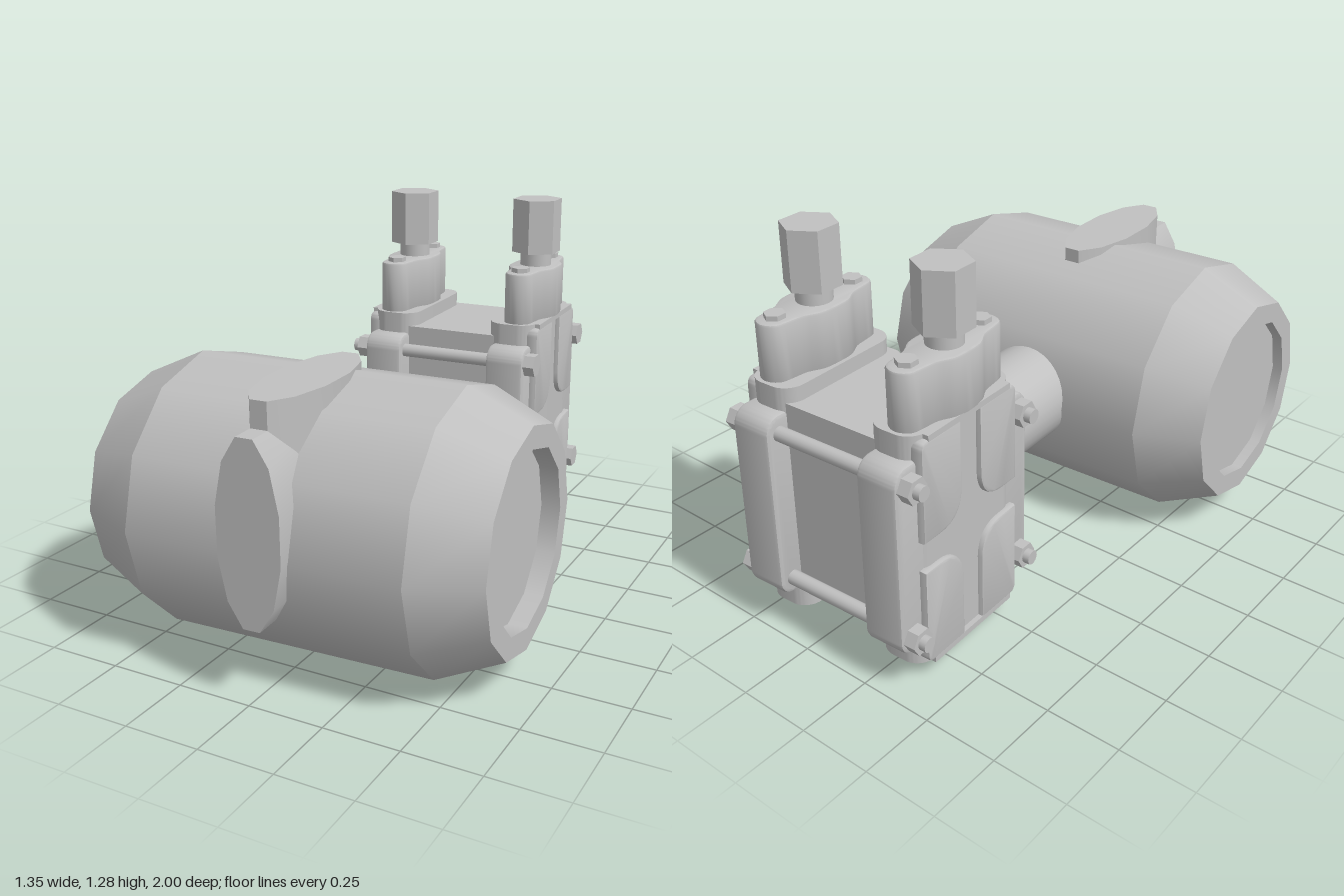
import * as THREE from 'three';
import { toCreasedNormals } from 'three/addons/utils/BufferGeometryUtils.js';

const metal = new THREE.MeshStandardMaterial({ color: 0xc0c0c0 });
metal.name = 'grey metal';

function add(parent, name, geometry, x = 0, y = 0, z = 0) {
  const mesh = new THREE.Mesh(geometry, metal);
  mesh.name = name;
  mesh.position.set(x, y, z);
  parent.add(mesh);
}

// Extrusion with smooth curved walls and sharp edges
function extrude(shape, depth, bevel = 0) {
  const g = new THREE.ExtrudeGeometry(shape, {
    depth: depth - 2 * bevel, curveSegments: 8, bevelEnabled: bevel > 0,
    bevelThickness: bevel, bevelSize: bevel, bevelOffset: -bevel, bevelSegments: 2,
  });
  g.translate(0, 0, bevel);
  return toCreasedNormals(g, 0.6);
}
const extrudeX = (shape, depth, bevel) => extrude(shape, depth, bevel).rotateY(Math.PI / 2);
const extrudeY = (shape, depth, bevel) => extrude(shape, depth, bevel).rotateX(-Math.PI / 2);

// Six-sided prism with flat faces
function hexPrism(radius, height) {
  const g = new THREE.CylinderGeometry(radius, radius, height, 6).toNonIndexed();
  g.computeVertexNormals();
  return g;
}

function roundedRect(w, h, r) {
  const s = new THREE.Shape();
  s.absarc(w - r, h - r, r, 0, Math.PI / 2);
  s.absarc(-w + r, h - r, r, Math.PI / 2, Math.PI);
  s.absarc(-w + r, -h + r, r, Math.PI, 1.5 * Math.PI);
  s.absarc(w - r, -h + r, r, 1.5 * Math.PI, 2 * Math.PI);
  s.closePath();
  return s;
}

// Twelve-sided flattened boss with a blunt tip
function ovalShape(halfWidth, halfLength) {
  const k = 1 / Math.cos(Math.PI / 12), pts = [];
  for (let i = 0; i < 12; i++) {
    const a = (i + 0.5) * Math.PI / 6;
    pts.push(new THREE.Vector2(halfWidth * k * Math.cos(a), halfLength * k * Math.sin(a)));
  }
  return new THREE.Shape(pts);
}

// Waisted two-lobed outline of a pipe adapter
function adapterShape() {
  const quarter = [[0.09, 0], [0.085, 0.06], [0.06, 0.11], [0.053, 0.16], [0.043, 0.205]];
  const pts = [];
  const put = (sx, sy, list) => list.forEach(([x, y]) => pts.push(new THREE.Vector3(sx * x, sy * y, 0)));
  put(1, 1, quarter);
  put(1, 1, [[0, 0.225]]);
  put(-1, 1, quarter.slice(1).reverse());
  put(-1, -1, quarter);
  put(1, -1, [[0, 0.225]]);
  put(1, -1, quarter.slice(1).reverse());
  const outline = new THREE.CatmullRomCurve3(pts, true).getPoints(60).slice(0, -1);
  return new THREE.Shape(outline.map((p) => new THREE.Vector2(p.x, p.y)));
}

// Electronics housing: one lathe band per profile step keeps the rims sharp
function buildHousing(parent) {
  const housing = new THREE.Group();
  housing.name = 'housing';
  housing.position.set(0, 0.453, 0.508);
  parent.add(housing);
  const profile = [[0, -0.625], [0.285, -0.625], [0.285, -0.662], [0.358, -0.662], [0.453, -0.455],
    [0.453, 0.455], [0.358, 0.662], [0.285, 0.662], [0.285, 0.6], [0, 0.6]];
  const names = ['rightCap', 'rightRecess', 'rightRim', 'rightCone', 'barrel',
    'leftCone', 'leftRim', 'leftRecess', 'leftCap'];
  names.forEach((name, i) => {
    const pts = [profile[i], profile[i + 1]].map(([r, h]) => new THREE.Vector2(r, h));
    add(housing, name, new THREE.LatheGeometry(pts, 12).rotateZ(-Math.PI / 2));
  });
  add(parent, 'topBoss', extrudeY(ovalShape(0.104, 0.277), 0.415), 0, 0.5, 0.64);
  add(parent, 'frontBoss', extrude(ovalShape(0.104, 0.292), 0.4), 0, 0.538, 0.597);
}

// One side cover, with its outer face towards +x
function buildCover(name) {
  const cover = new THREE.Group();
  cover.name = name;
  const midY = 0.456;

  add(cover, 'coverPlate', extrudeX(roundedRect(0.31, 0.318, 0.055), 0.142, 0.012), 0.173, midY, 0);
  add(cover, 'coverColumn', extrudeY(roundedRect(0.088, 0.237, 0.065), 0.79), 0.234, 0.06, 0);

  // Four raised pads leave a cross-shaped channel with rounded corners
  for (const sz of [1, -1]) for (const sy of [1, -1]) {
    const s = new THREE.Shape();
    s.moveTo(sz * 0.045, sy * 0.15);
    s.lineTo(sz * 0.045, sy * 0.38);
    s.lineTo(sz * 0.19, sy * 0.38);
    s.quadraticCurveTo(sz * 0.22, sy * 0.38, sz * 0.22, sy * 0.35);
    s.lineTo(sz * 0.22, sy * 0.05);
    s.lineTo(sz * 0.15, sy * 0.05);
    s.quadraticCurveTo(sz * 0.05, sy * 0.05, sz * 0.045, sy * 0.15);
    add(cover, 'coverPad', extrudeX(s, 0.05, 0.008), 0.29, midY, 0);
  }
  for (const s of [1, -1]) {
    add(cover, 'channelEnd', new THREE.BoxGeometry(0.05, 0.02, 0.38), 0.314, midY + s * 0.384, 0);
  }

  // Bolt heads at the corners
  for (const y of [0.195, 0.715]) for (const z of [-0.26, 0.26]) {
    add(cover, 'boltHead', hexPrism(0.043, 0.045).rotateZ(-Math.PI / 2), 0.332, y, z);
  }

  // Pipe adapter with its two screws, neck and hexagonal fitting
  const ax = 0.25;
  add(cover, 'adapter', extrudeY(adapterShape(), 0.195, 0.008), ax, 0.84, 0);
  for (const z of [-0.165, 0.165]) {
    add(cover, 'adapterScrew', hexPrism(0.034, 0.03), ax, 1.036, z);
  }
  add(cover, 'fittingNeck', new THREE.CylinderGeometry(0.058, 0.058, 0.08, 24), ax, 1.06, 0);
  add(cover, 'hexFitting', hexPrism(0.091, 0.197), ax, 1.1825, 0);
  return cover;
}

function buildSensor(parent) {
  const sensor = new THREE.Group();
  sensor.name = 'sensor';
  sensor.position.z = -0.676;
  parent.add(sensor);
  add(sensor, 'sensorBlock', new THREE.BoxGeometry(0.36, 0.66, 0.45), 0, 0.47, 0);

  const left = buildCover('leftCover');
  const right = buildCover('rightCover');
  right.rotation.y = Math.PI;
  sensor.add(left, right);

  // Tie rods run through both covers, ends showing on the right
  for (const y of [0.195, 0.715]) for (const z of [-0.26, 0.26]) {
    add(sensor, 'tieRod', new THREE.CylinderGeometry(0.024, 0.024, 0.71, 16).rotateZ(Math.PI / 2), -0.023, y, z);
  }
}

export function createModel() {
  const model = new THREE.Group();
  model.name = 'pressureTransmitter';
  const body = new THREE.Group();
  body.name = 'transmitterBody';
  body.rotation.y = 0.045;
  body.position.x = -0.027;
  model.add(body);

  buildHousing(body);
  // Stepped neck between housing and sensor
  add(body, 'neckCollar', new THREE.CylinderGeometry(0.17, 0.17, 0.42, 32).rotateX(Math.PI / 2), 0, 0.459, -0.01);
  add(body, 'neckTube', new THREE.CylinderGeometry(0.151, 0.151, 0.3, 32).rotateX(Math.PI / 2), 0, 0.456, -0.33);
  buildSensor(body);
  return model;
}
